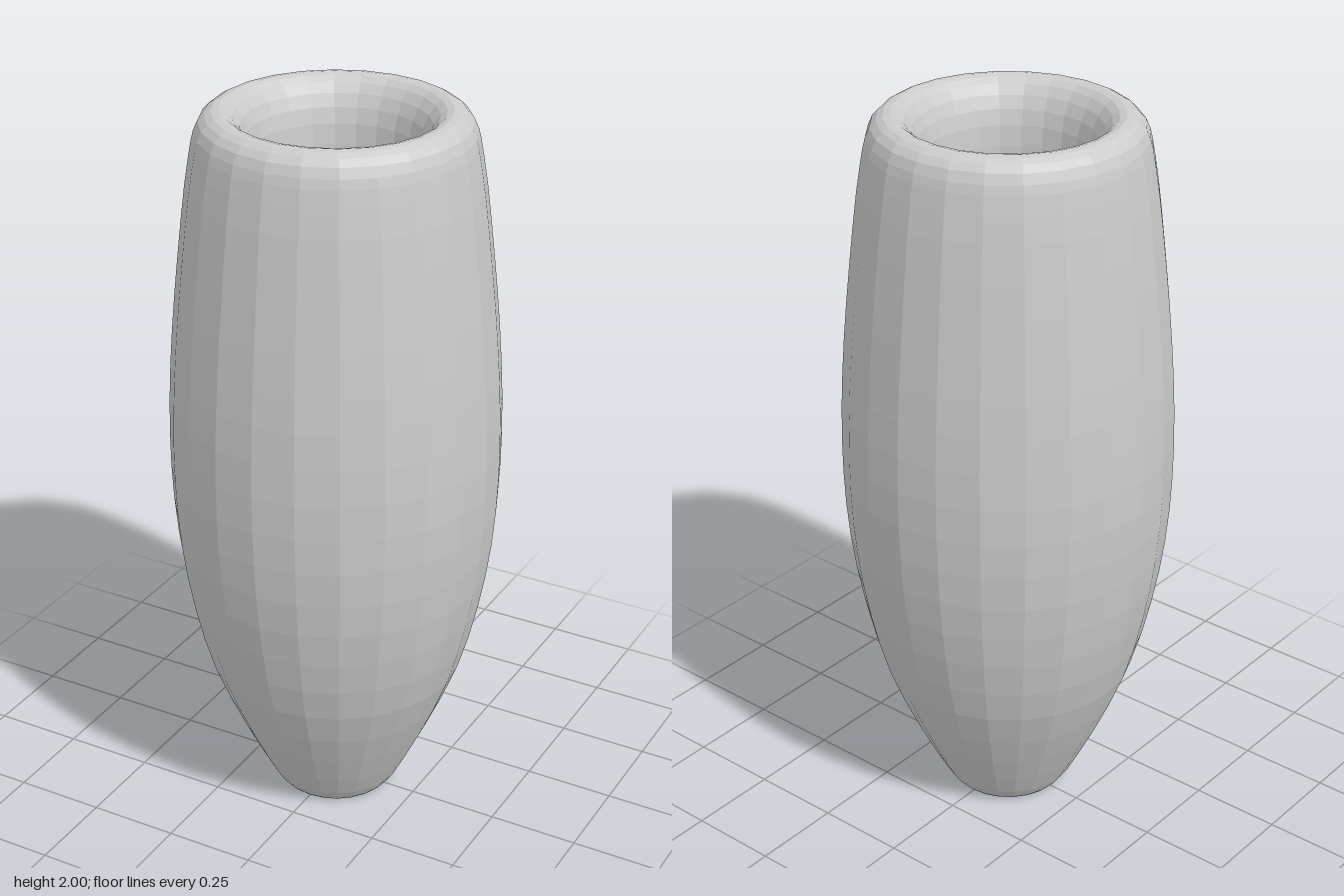
import * as THREE from 'three';

const SIDES = 24;

// Smooth curve through [radius, height] points, sampled into lathe points
function profile(points, samples) {
  return new THREE.SplineCurve(points.map(([r, y]) => new THREE.Vector2(r, y))).getPoints(samples);
}

export function createModel() {
  const group = new THREE.Group();
  group.name = 'vase';
  const material = new THREE.MeshStandardMaterial({ color: 0xcccccc, flatShading: true });

  const addLathe = (name, points) => {
    const mesh = new THREE.Mesh(new THREE.LatheGeometry(points, SIDES), material);
    mesh.name = name;
    group.add(mesh);
  };

  // Flat foot
  addLathe('foot', [new THREE.Vector2(0, 0), new THREE.Vector2(0.155, 0)]);

  // Swelling outer wall
  addLathe('outerWall', profile([
    [0.155, 0], [0.185, 0.04], [0.265, 0.2], [0.348, 0.4], [0.4, 0.6], [0.432, 0.8],
    [0.445, 1.0], [0.443, 1.2], [0.43, 1.4], [0.41, 1.6], [0.386, 1.8], [0.366, 1.92],
  ], 22));

  // Thick rounded lip turning into the throat
  addLathe('lip', profile([
    [0.366, 1.92], [0.352, 1.965], [0.325, 1.993], [0.295, 2.0], [0.265, 1.985],
    [0.235, 1.94], [0.217, 1.87], [0.212, 1.78],
  ], 12));

  // Hollow inside, widening below the throat and closing in a bowl
  addLathe('innerWall', profile([
    [0.212, 1.78], [0.235, 1.6], [0.265, 1.4], [0.285, 1.2], [0.29, 1.0], [0.28, 0.8],
    [0.25, 0.6], [0.2, 0.4], [0.14, 0.27], [0.09, 0.21],
  ], 16));

  // Small inner floor
  addLathe('innerFloor', [new THREE.Vector2(0.09, 0.21), new THREE.Vector2(0, 0.2)]);

  return group;
}
